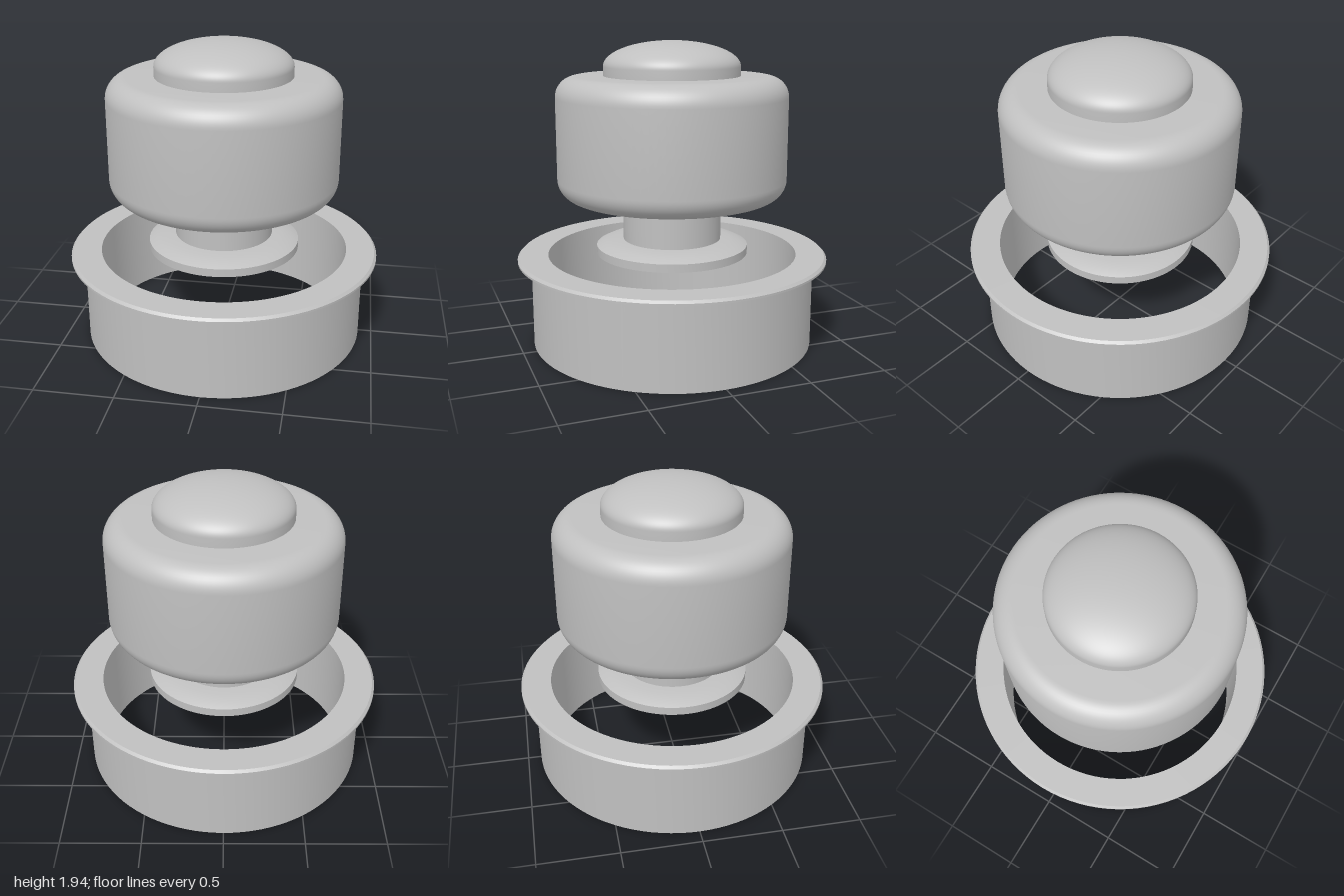
import * as THREE from 'three';
import { toCreasedNormals } from 'three/addons/utils/BufferGeometryUtils.js';

const grey = new THREE.MeshStandardMaterial({ color: 0xc0c0c0 });
grey.name = 'grey';

// Turned part from a [radius, height] profile, running from bottom to top on the outside
function turned(name, profile) {
  const points = profile.map(([r, y]) => new THREE.Vector2(r, y));
  const mesh = new THREE.Mesh(toCreasedNormals(new THREE.LatheGeometry(points, 96), 0.35), grey);
  mesh.name = name;
  return mesh;
}

// Elliptical arc as profile points, angles in quarter turns
function arc(r, y, a, b, from, to, steps) {
  return Array.from({ length: steps + 1 }, (_, i) => {
    const t = (from + (to - from) * i / steps) * Math.PI / 2;
    const c = Math.abs(Math.cos(t)) < 1e-9 ? 0 : Math.cos(t);
    return [r + a * c, y + b * Math.sin(t)];
  });
}

export function createModel() {
  const model = new THREE.Group();

  // Open sleeve with an overhanging, slightly chamfered flange
  model.add(turned('flangedSleeve', [
    [0.805, 0], [0.913, 0], [0.913, 0.555], [1, 0.555], [1, 0.568],
    [0.985, 0.583], [0.805, 0.583], [0.805, 0],
  ]));

  // Stopper disc with a shallow crowned top
  model.add(turned('stopperDisc', [
    [0, 0.58], [0.49, 0.58], [0.49, 0.632], [0.44, 0.655], [0.38, 0.665], [0.316, 0.672], [0, 0.672],
  ]));

  // Stem joining disc and body
  model.add(turned('stem', [[0.316, 0.66], [0.316, 0.96]]));

  // Drum body with rounded edges
  const round = 0.13;
  model.add(turned('body', [
    [0, 0.945],
    ...arc(0.734 - round, 0.945 + round, round, round, -1, 0, 12),
    ...arc(0.734 - round, 1.722 - round, round, round, 0, 1, 12),
    [0, 1.722],
  ]));

  // Domed button on top
  model.add(turned('domedButton', [
    [0.432, 1.715], ...arc(0, 1.78, 0.432, 0.16, 0, 1, 28),
  ]));

  return model;
}
